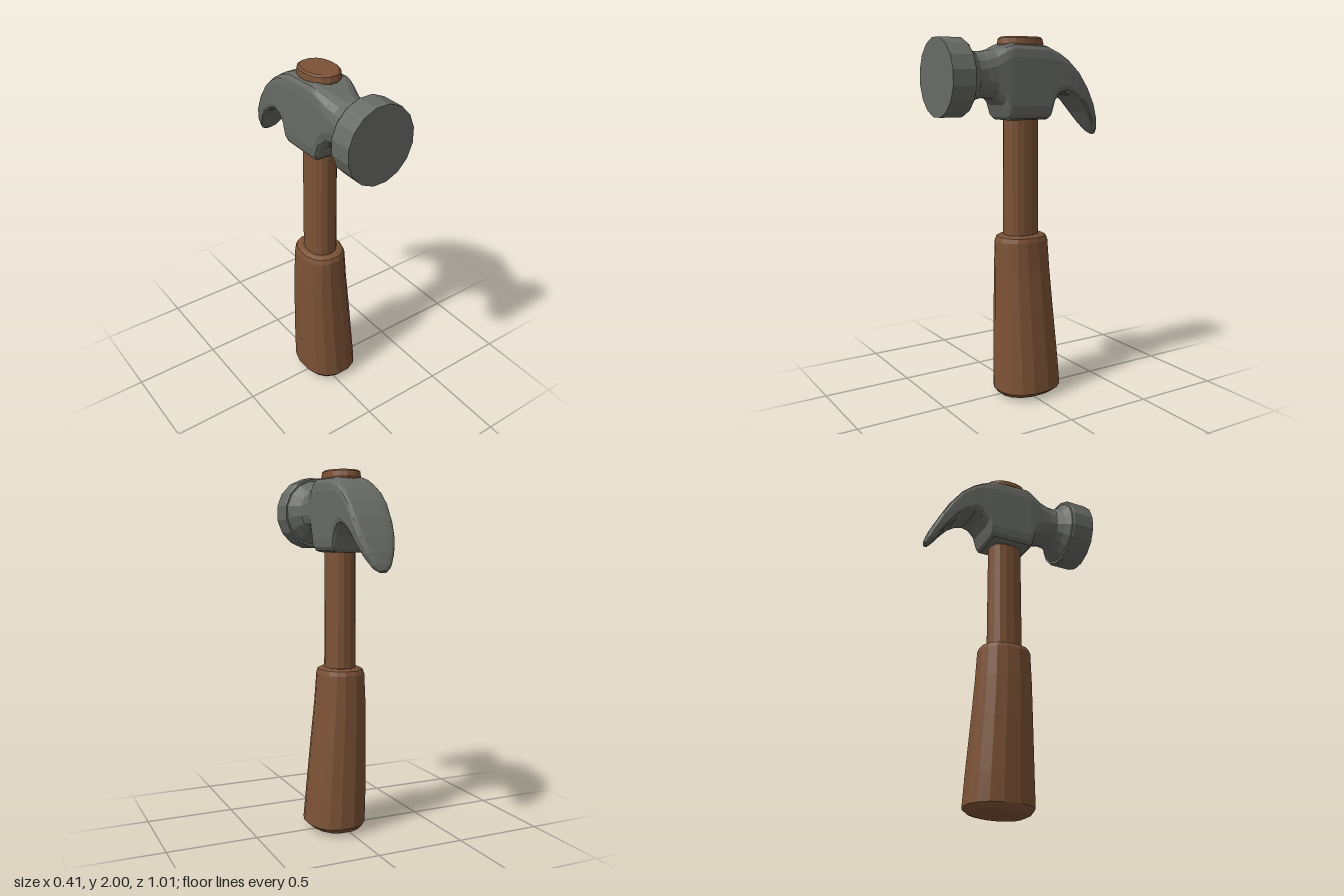
import * as THREE from 'three';

const SIDES = 16;

// Unit superellipse outline: n = 2 is round, larger n is boxier
function outline(n) {
  const pts = [];
  for (let i = 0; i < SIDES; i++) {
    const t = ((i + 0.5) / SIDES) * Math.PI * 2;
    const f = (v) => Math.sign(v) * Math.abs(v) ** (2 / n);
    pts.push([f(Math.cos(t)), f(Math.sin(t))]);
  }
  const max = Math.max(...pts.map((p) => p[0]));
  return pts.map(([u, v]) => [u / max, v / max]);
}

// Faceted skin over a list of rings, closed at both ends
function loft(rings) {
  const pos = rings.flat(2);
  const index = [];
  const last = (rings.length - 1) * SIDES;
  for (let r = 0; r < rings.length - 1; r++) {
    for (let j = 0; j < SIDES; j++) {
      const a = r * SIDES + j, b = r * SIDES + ((j + 1) % SIDES);
      index.push(a, b, b + SIDES, a, b + SIDES, a + SIDES);
    }
  }
  for (let j = 1; j < SIDES - 1; j++) {
    index.push(0, j + 1, j, last, last + j, last + j + 1);
  }
  const g = new THREE.BufferGeometry();
  g.setAttribute('position', new THREE.Float32BufferAttribute(pos, 3));
  g.setIndex(index);
  const flat = g.toNonIndexed();
  flat.computeVertexNormals();
  return flat;
}

// Upright part; rows: y, xMin, xMax, zMin, zMax
function upright(rows, n) {
  return loft(rows.map(([y, x0, x1, z0, z1]) => outline(n).map(([u, v]) => [
    (x0 + x1) / 2 + (v * (x1 - x0)) / 2, y, (z0 + z1) / 2 + (u * (z1 - z0)) / 2,
  ])));
}

// Part running back to front; rows: top z, top y, bottom z, bottom y, half width, boxiness
function lengthwise(rows, cx) {
  return loft(rows.map(([tz, ty, bz, by, w, n]) => outline(n).map(([u, v]) => [
    cx + u * w, (ty + by) / 2 + (v * (ty - by)) / 2, (tz + bz) / 2 + (v * (tz - bz)) / 2,
  ])));
}

export function createModel() {
  const wood = new THREE.MeshStandardMaterial({ color: 0x7c5236 });
  wood.name = 'brown wood';
  const steel = new THREE.MeshStandardMaterial({ color: 0x686a65 });
  steel.name = 'grey steel';

  const group = new THREE.Group();
  group.name = 'hammer';
  const add = (name, geometry, material) => {
    const mesh = new THREE.Mesh(geometry, material);
    mesh.name = name;
    group.add(mesh);
  };

  // Thick grip, leaning out towards +x at the base
  add('grip', upright([
    [0.0, -0.07, 0.12, -0.13, 0.12],
    [0.015, -0.1, 0.165, -0.17, 0.155],
    [0.045, -0.122, 0.202, -0.198, 0.18],
    [0.2, -0.128, 0.188, -0.19, 0.172],
    [0.5, -0.134, 0.158, -0.17, 0.16],
    [0.72, -0.135, 0.134, -0.157, 0.152],
    [0.89, -0.128, 0.12, -0.148, 0.146],
    [0.915, -0.12, 0.113, -0.138, 0.135],
    [0.925, -0.1, 0.095, -0.118, 0.115],
  ], 2.3), wood);

  // Slim shaft up into the head
  add('shaft', upright([
    [0.9, -0.085, 0.077, -0.096, 0.1],
    [1.6, -0.082, 0.072, -0.094, 0.098],
  ], 2.3), wood);

  // End of the handle showing above the head
  add('handleTop', upright([
    [1.93, -0.1, 0.08, -0.122, 0.12],
    [1.965, -0.106, 0.086, -0.13, 0.13],
    [1.992, -0.104, 0.083, -0.122, 0.124],
    [2.0, -0.094, 0.074, -0.11, 0.112],
  ], 2.2), wood);

  // Claw, eye block and neck in one skin
  add('clawAndBody', lengthwise([
    [-0.504, 1.475, -0.49, 1.462, 0.022, 2.5],
    [-0.498, 1.505, -0.468, 1.478, 0.05, 3],
    [-0.475, 1.565, -0.43, 1.528, 0.078, 4],
    [-0.435, 1.645, -0.385, 1.592, 0.102, 5],
    [-0.385, 1.735, -0.335, 1.652, 0.114, 5],
    [-0.32, 1.822, -0.285, 1.69, 0.118, 6],
    [-0.25, 1.885, -0.235, 1.705, 0.12, 6],
    [-0.19, 1.922, -0.19, 1.69, 0.121, 6],
    [-0.15, 1.94, -0.155, 1.645, 0.122, 6],
    [-0.125, 1.951, -0.135, 1.575, 0.122, 7],
    [-0.1, 1.958, -0.12, 1.56, 0.122, 7],
    [0.1, 1.965, 0.115, 1.56, 0.122, 7],
    [0.12, 1.958, 0.132, 1.575, 0.121, 7],
    [0.15, 1.948, 0.155, 1.64, 0.118, 5],
    [0.2, 1.93, 0.195, 1.672, 0.112, 3],
    [0.26, 1.918, 0.255, 1.682, 0.108, 2.4],
    [0.305, 1.921, 0.305, 1.668, 0.114, 2.1],
    [0.34, 1.94, 0.335, 1.645, 0.142, 2],
    [0.375, 1.975, 0.375, 1.597, 0.182, 2],
  ], -0.013), steel);

  // Round striking face
  add('strikingFace', lengthwise([
    [0.368, 1.98, 0.368, 1.59, 0.185, 2],
    [0.378, 1.988, 0.378, 1.583, 0.191, 2],
    [0.505, 1.988, 0.505, 1.583, 0.191, 2],
  ], -0.015), steel);

  return group;
}
